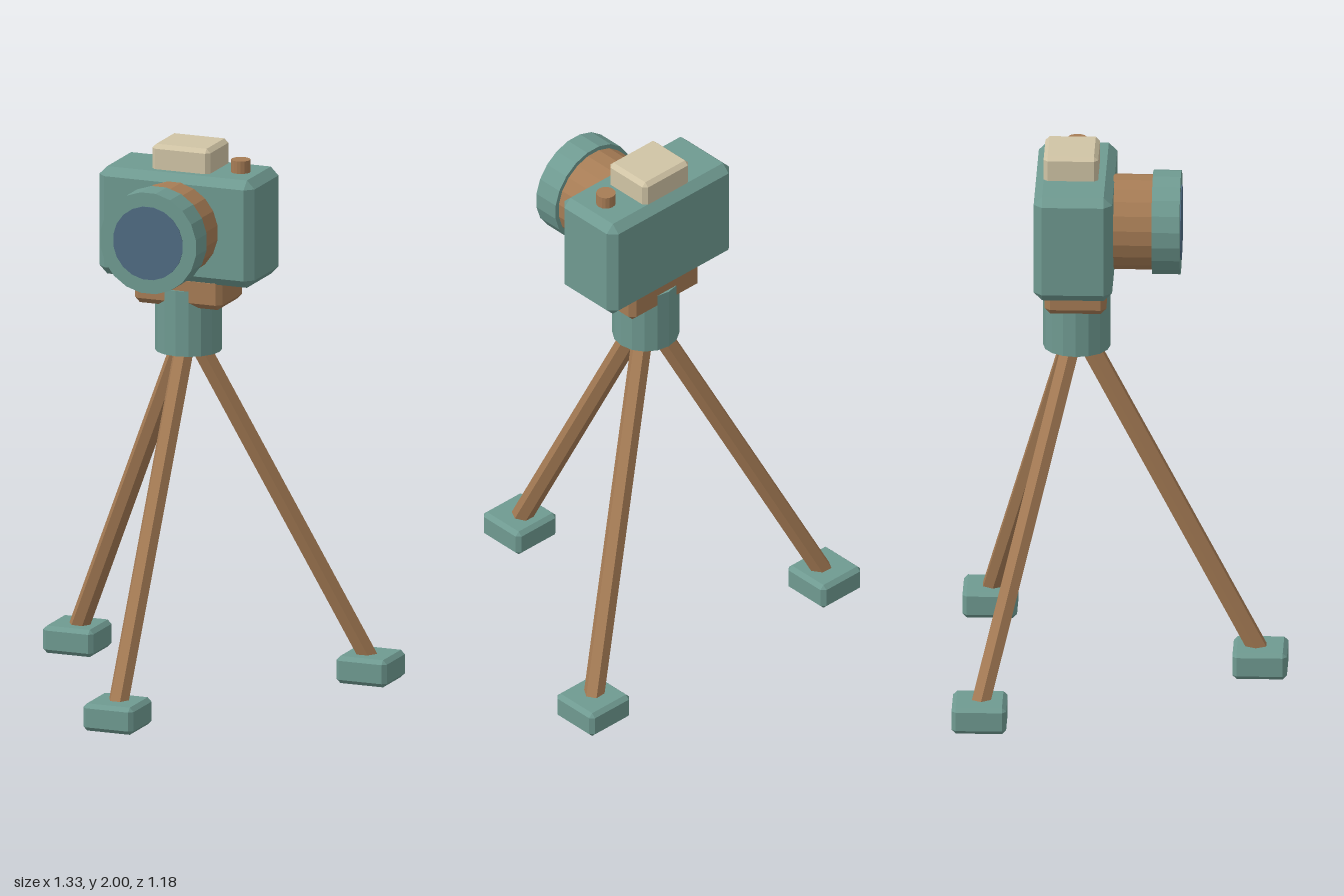
import * as THREE from 'three';
import { ConvexGeometry } from 'three/addons/geometries/ConvexGeometry.js';

const mat = (color) => new THREE.MeshStandardMaterial({ color, flatShading: true });

// Box with a single flat chamfer on every edge
function chamferBox(w, h, d, c) {
  const pts = [];
  for (const x of [-1, 1]) for (const y of [-1, 1]) for (const z of [-1, 1]) {
    const [a, b, e] = [w / 2, h / 2, d / 2];
    pts.push(
      new THREE.Vector3(x * a, y * (b - c), z * (e - c)),
      new THREE.Vector3(x * (a - c), y * b, z * (e - c)),
      new THREE.Vector3(x * (a - c), y * (b - c), z * e));
  }
  return new ConvexGeometry(pts);
}

export function createModel() {
  const model = new THREE.Group();
  model.name = 'tripodCamera';
  const teal = mat(0x6f9a91), wood = mat(0xa67c55), cream = mat(0xd0c4a5), glass = mat(0x4f6b82);
  const hubZ = -0.16, lensY = 1.715;

  function add(name, geometry, material, x, y, z) {
    const mesh = new THREE.Mesh(geometry, material);
    mesh.name = name;
    mesh.position.set(x, y, z);
    model.add(mesh);
    return mesh;
  }

  // Camera body and the parts on top
  add('cameraBody', chamferBox(0.6, 0.395, 0.28, 0.03), teal, 0, 1.7125, -0.165);
  add('viewfinder', chamferBox(0.224, 0.12, 0.195, 0.015), cream, 0, 1.94, -0.178);
  add('shutterButton', new THREE.CylinderGeometry(0.035, 0.035, 0.075, 16), wood, 0.2, 1.918, -0.165);

  // Lens, stacked along z
  const disc = (name, r, z0, z1, material) => {
    const geo = new THREE.CylinderGeometry(r, r, z1 - z0, 20, 1, false, Math.PI / 20);
    add(name, geo.rotateX(Math.PI / 2), material, 0, lensY, (z0 + z1) / 2);
  };
  disc('lensBarrel', 0.171, -0.06, 0.13, wood);
  disc('lensRing', 0.187, 0.112, 0.212, teal);
  disc('lensGlass', 0.135, 0.15, 0.215, glass);

  // Mounting plate and tripod hub
  add('mountPlate', chamferBox(0.34, 0.12, 0.22, 0.02), wood, 0, 1.478, hubZ);
  add('tripodHub', new THREE.CylinderGeometry(0.12, 0.12, 0.24, 16), teal, 0, 1.36, hubZ);

  // Three splayed hexagonal legs with square feet
  const legTop = [0.015, 1.3], legBottom = [0.66, 0.06];
  const run = legBottom[0] - legTop[0], rise = legTop[1] - legBottom[1];
  ['front', 'backLeft', 'backRight'].forEach((side, i) => {
    const angle = i * Math.PI * 2 / 3;
    const radial = (r, y) => new THREE.Vector3(Math.sin(angle) * r, y, hubZ + Math.cos(angle) * r);
    const geo = new THREE.CylinderGeometry(0.038, 0.038, Math.hypot(run, rise), 6, 1, false, Math.PI / 6);
    geo.rotateX(-Math.atan2(run, rise)).rotateY(angle);
    const mid = radial((legTop[0] + legBottom[0]) / 2, (legTop[1] + legBottom[1]) / 2);
    add(side + 'Leg', geo, wood, mid.x, mid.y, mid.z);
    const foot = radial(0.655, 0.05);
    add(side + 'Foot', chamferBox(0.195, 0.1, 0.195, 0.015), teal, foot.x, foot.y, foot.z);
  });

  return model;
}
